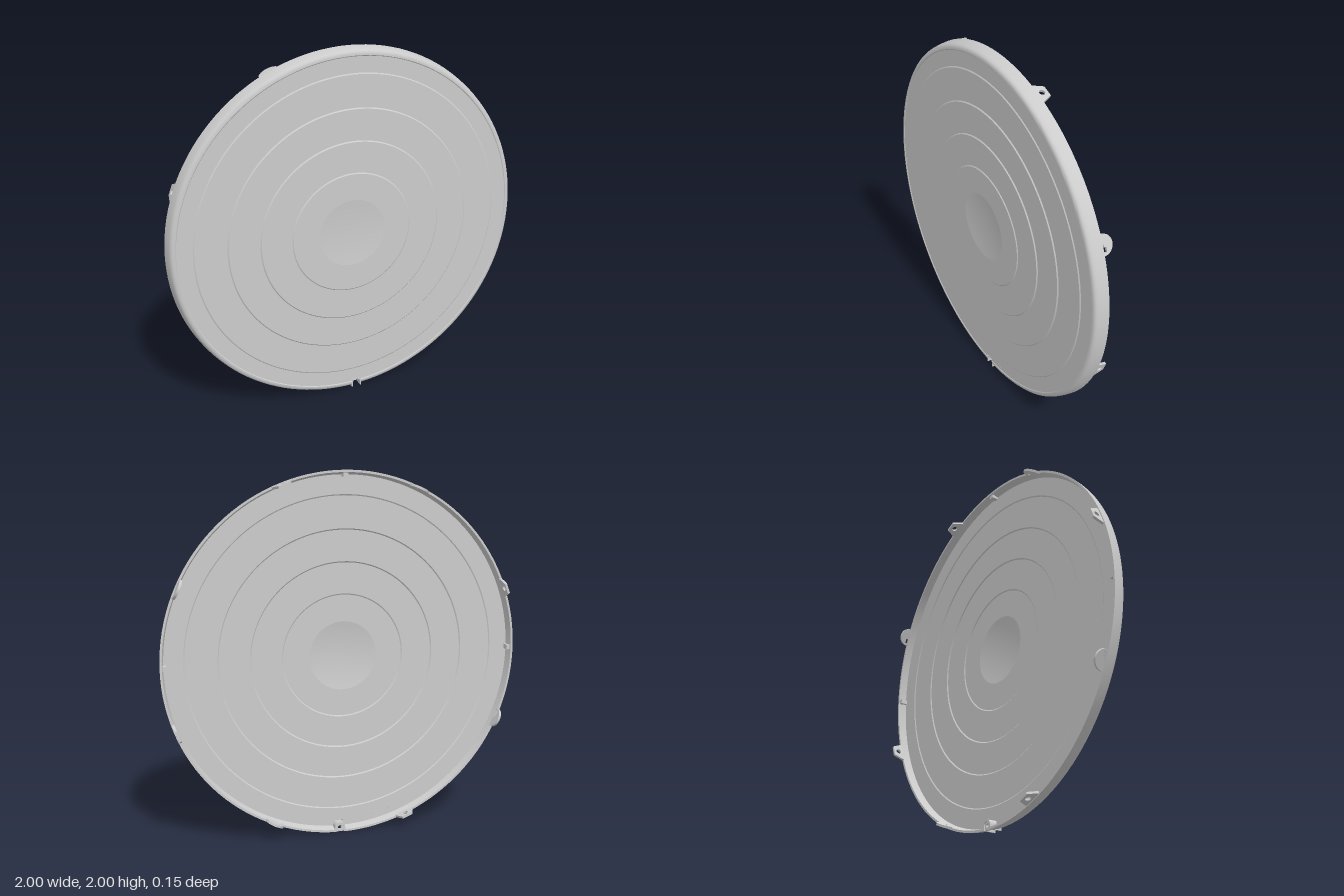
import * as THREE from 'three';
import { toCreasedNormals } from 'three/addons/utils/BufferGeometryUtils.js';

const mat = new THREE.MeshStandardMaterial({ color: 0xcccccc, side: THREE.DoubleSide });
const SEG = 128;

// Revolve [radius, z] points about the z axis; angle 0 is at the bottom
function revolve(name, pts, crease, start = 0, length = Math.PI * 2) {
  const geo = new THREE.LatheGeometry(pts.map(p => new THREE.Vector2(p[0], p[1])), SEG, start, length);
  geo.rotateX(Math.PI / 2);
  const mesh = new THREE.Mesh(toCreasedNormals(geo, crease), mat);
  mesh.name = name;
  return mesh;
}

// Extrude a flat shape, centred on its thickness
function plate(shape, depth) {
  return new THREE.ExtrudeGeometry(shape, { depth, bevelEnabled: false, curveSegments: 12 })
    .translate(0, 0, -depth / 2);
}

// Rounded hook with a slot open at the base
function hookGeometry() {
  const s = new THREE.Shape();
  s.moveTo(0.053, -0.004);
  s.lineTo(0.053, 0.005);
  s.absarc(0, 0.005, 0.053, 0, Math.PI, false);
  s.lineTo(-0.053, -0.004);
  s.lineTo(-0.038, -0.004);
  s.lineTo(-0.038, 0.02);
  s.lineTo(-0.012, 0.02);
  s.lineTo(-0.012, 0.008);
  s.lineTo(0.004, 0.008);
  s.lineTo(0.004, -0.004);
  s.closePath();
  return plate(s, 0.013);
}

// Tapered lug with an eyelet
function lugGeometry() {
  const s = new THREE.Shape();
  s.moveTo(0.053, -0.004);
  s.lineTo(0.053, 0.008);
  s.lineTo(0.03, 0.058);
  s.lineTo(-0.03, 0.058);
  s.lineTo(-0.053, 0.008);
  s.lineTo(-0.053, -0.004);
  s.closePath();
  const hole = new THREE.Path();
  hole.absarc(0, 0.028, 0.015, 0, Math.PI * 2, true);
  s.holes.push(hole);
  return plate(s, 0.013);
}

export function createModel() {
  const model = new THREE.Group();
  const disc = new THREE.Group();
  disc.name = 'disc';
  disc.position.y = 1;
  model.add(disc);

  // Stepped face with the same steps front and back
  const thick = 0.03, edge = 0.945, dishR = 0.19;
  const steps = [[0.87, 0.056], [0.69, 0.061], [0.515, 0.066], [0.34, 0.07]];
  const front = [[edge, 0.052]];
  let z = 0.052;
  for (const [r, next] of steps) {
    front.push([r + 0.003, z], [r - 0.003, next]);
    z = next;
  }
  front.push([dishR, z]);
  const back = front.map(([r, h]) => [r, h - thick]).reverse();
  disc.add(revolve('frontFace', front, 0.3), revolve('backFace', back, 0.3));

  // Shallow central dish on each side
  const frontDish = [], backDish = [];
  for (let i = 0; i <= 10; i++) {
    const r = dishR * (1 - i / 10), k = 1 - (1 - i / 10) ** 2;
    frontDish.push([r, z - 0.009 * k]);
    backDish.unshift([r, z - thick + 0.017 * k]);
  }
  disc.add(revolve('frontDish', frontDish, 0.5), revolve('backDish', backDish, 0.5));

  // Rounded rim, interrupted at the cable opening
  const mid = 0.035, half = 0.028;
  disc.add(revolve('rim', [
    [edge, 0.022], [0.976, 0.022], [0.988, -0.019], [1, -0.019], [0.996, 0.012],
    [0.99, 0.036], [0.986, 0.046], [0.979, 0.052], [0.97, 0.055], [0.962, 0.055],
    [0.958, 0.052], [edge, 0.052],
  ], 0.55, mid + half, Math.PI * 2 - 2 * half));

  // Arched sleeve lining the cable opening
  const arch = new THREE.Shape();
  arch.moveTo(0.03, -0.024);
  arch.lineTo(0.03, 0);
  arch.absarc(0, 0, 0.03, 0, Math.PI, false);
  arch.lineTo(-0.03, -0.024);
  arch.lineTo(-0.023, -0.024);
  arch.lineTo(-0.023, 0);
  arch.absarc(0, 0, 0.023, Math.PI, 0, true);
  arch.lineTo(0.023, -0.024);
  const sleeve = new THREE.Mesh(plate(arch, 0.072), mat);
  sleeve.name = 'cableSleeve';
  sleeve.position.set(mid, -0.974, 0.017);

  // Wall across the sleeve with a small hole
  const wall = new THREE.Shape();
  wall.moveTo(0.025, -0.024);
  wall.lineTo(0.025, 0);
  wall.absarc(0, 0, 0.025, 0, Math.PI, false);
  wall.lineTo(-0.025, -0.024);
  const hole = new THREE.Path();
  hole.absarc(0, 0, 0.011, 0, Math.PI * 2, true);
  wall.holes.push(hole);
  const sleeveWall = new THREE.Mesh(plate(wall, 0.01), mat);
  sleeveWall.name = 'cableWall';
  sleeveWall.position.set(mid, -0.974, -0.008);
  disc.add(sleeve, sleeveWall);

  // Hooks and lugs alternating behind the rim
  const hookGeo = hookGeometry(), lugGeo = lugGeometry();
  for (let i = 0; i < 8; i++) {
    const a = (i + 0.5) * Math.PI / 4 + 0.034;
    const c = Math.cos(a), s = Math.sin(a);
    const clip = new THREE.Mesh(i % 2 ? lugGeo : hookGeo, mat);
    clip.name = i % 2 ? 'rimLug' : 'rimHook';
    const m = new THREE.Matrix4().makeBasis(
      new THREE.Vector3(-s, c, 0),
      new THREE.Vector3(0, 0, -1),
      new THREE.Vector3(-c, -s, 0));
    m.setPosition(c * 0.988, s * 0.988, -0.018);
    clip.applyMatrix4(m);
    disc.add(clip);
  }

  // Small locating pegs inside the rim at the sides and top
  for (let i = 0; i < 3; i++) {
    const a = i * Math.PI / 2;
    const peg = new THREE.Mesh(new THREE.BoxGeometry(0.02, 0.026, 0.04), mat);
    peg.name = 'locatingPeg';
    peg.position.set(Math.cos(a) * 0.974, Math.sin(a) * 0.974, 0.005);
    peg.rotation.z = a;
    disc.add(peg);
  }
  return model;
}
